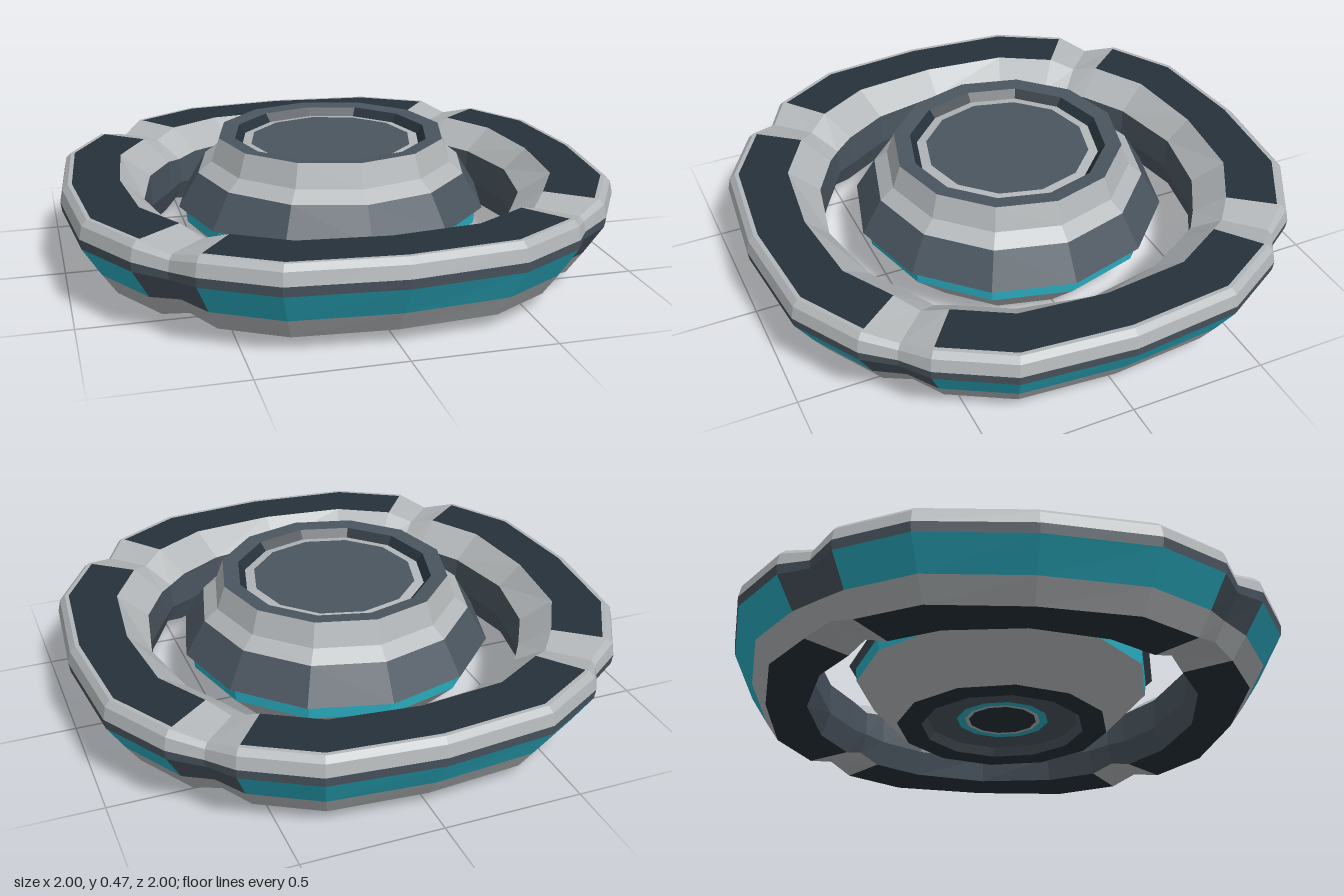
import * as THREE from 'three';

const mat = (name, color) => {
  const m = new THREE.MeshStandardMaterial({ color, flatShading: true });
  m.name = name;
  return m;
};

// Mesh from a list of four-cornered faces (corners counter-clockwise from outside)
function quadMesh(name, material, quads) {
  const pos = [];
  for (const [a, b, c, d] of quads) for (const p of [a, b, c, a, c, d]) pos.push(...p);
  const g = new THREE.BufferGeometry();
  g.setAttribute('position', new THREE.Float32BufferAttribute(pos, 3));
  g.computeVertexNormals();
  const mesh = new THREE.Mesh(g, material);
  mesh.name = name;
  return mesh;
}

export function createModel() {
  const light = mat('light grey', 0xb2b6b8);
  const slate = mat('slate', 0x4a555f);
  const dark = mat('dark navy', 0x26313a);
  const teal = mat('teal', 0x2bb0c4);

  const model = new THREE.Group();
  model.name = 'ringStation';

  // ---- Outer ring: one cross-section swept through 24 uneven angles ----
  const ring = new THREE.Group();
  ring.name = 'outerRing';
  const profile = [[0.72, 0.05], [0.87, 0.05], [0.925, 0.13], [0.995, 0.24], [1.0, 0.275],
    [0.99, 0.32], [0.97, 0.34], [0.955, 0.34], [0.785, 0.34], [0.70, 0.26], [0.695, 0.14]];
  // name, panel colour, clamp colour for the band starting at each profile point
  const bands = [['underside', dark, light], ['lowerBevel', light, light], ['sidePanel', teal, slate],
    ['sideGroove', slate, slate], ['rim', light, light], ['rimBevel', light, light],
    ['topLip', light, light], ['topPanel', dark, light], ['innerBevel', light, light],
    ['innerWall', slate, slate], ['innerFoot', slate, slate]];
  const steps = [0, 22.5, 38, 45, 52, 67.5];
  const section = (k) => {
    const s = k % 6;
    const a = THREE.MathUtils.degToRad(Math.floor(k / 6) * 90 + steps[s]);
    return profile.map(([r, y]) => {
      if (s !== 0) r += 0.04 * THREE.MathUtils.clamp((r - 0.7) / 0.12, 0, 1);
      if (s === 3) { // pinched middle of each clamp
        r = 0.86 + (r - 0.86) * (r > 0.86 ? 0.8 : 0.95);
        y = 0.19 + (y - 0.19) * 0.8;
      }
      return [r * Math.sin(a), y, r * Math.cos(a)];
    });
  };
  const sections = Array.from({ length: 24 }, (_, k) => section(k));
  bands.forEach(([name, panelMat, clampMat], i) => {
    const panel = [], clamp = [];
    const i2 = (i + 1) % profile.length;
    sections.forEach((s, k) => {
      const t = sections[(k + 1) % 24];
      const isClamp = k % 6 === 2 || k % 6 === 3;
      (isClamp ? clamp : panel).push([s[i], t[i], t[i2], s[i2]]);
    });
    ring.add(quadMesh(name, panelMat, panel), quadMesh(name + 'Clamp', clampMat, clamp));
  });
  model.add(ring);

  // ---- Central hub: stacked twelve-sided bands, from the bottom centre up and over ----
  const hub = new THREE.Group();
  hub.name = 'hub';
  const hubBand = (name, material, pts) => {
    const g = new THREE.LatheGeometry(pts.map(([r, y]) => new THREE.Vector2(r, y)), 12);
    const mesh = new THREE.Mesh(g, material);
    mesh.name = name;
    hub.add(mesh);
  };
  hubBand('bottomDisc', dark, [[0, 0.03], [0.125, 0.03]]);
  hubBand('bottomCollar', light, [[0.125, 0.03], [0.14, 0.03]]);
  hubBand('bottomLight', teal, [[0.14, 0.03], [0.17, 0.03]]);
  hubBand('bottomRecess', slate, [[0.17, 0.03], [0.28, 0.03], [0.30, 0]]);
  hubBand('bottomRim', dark, [[0.30, 0], [0.39, 0]]);
  hubBand('lowerCone', light, [[0.39, 0], [0.545, 0.16]]);
  hubBand('glowBand', teal, [[0.545, 0.16], [0.55, 0.21]]);
  hubBand('skirt', slate, [[0.55, 0.21], [0.575, 0.22], [0.50, 0.345]]);
  hubBand('upperWall', light, [[0.50, 0.345], [0.45, 0.385], [0.42, 0.47]]);
  hubBand('topLip', slate, [[0.42, 0.47], [0.36, 0.465]]);
  hubBand('topStep', dark, [[0.36, 0.465], [0.335, 0.435]]);
  hubBand('topCollar', light, [[0.335, 0.435], [0.30, 0.44]]);
  hubBand('topDisc', slate, [[0.30, 0.44], [0, 0.44]]);
  model.add(hub);

  return model;
}
